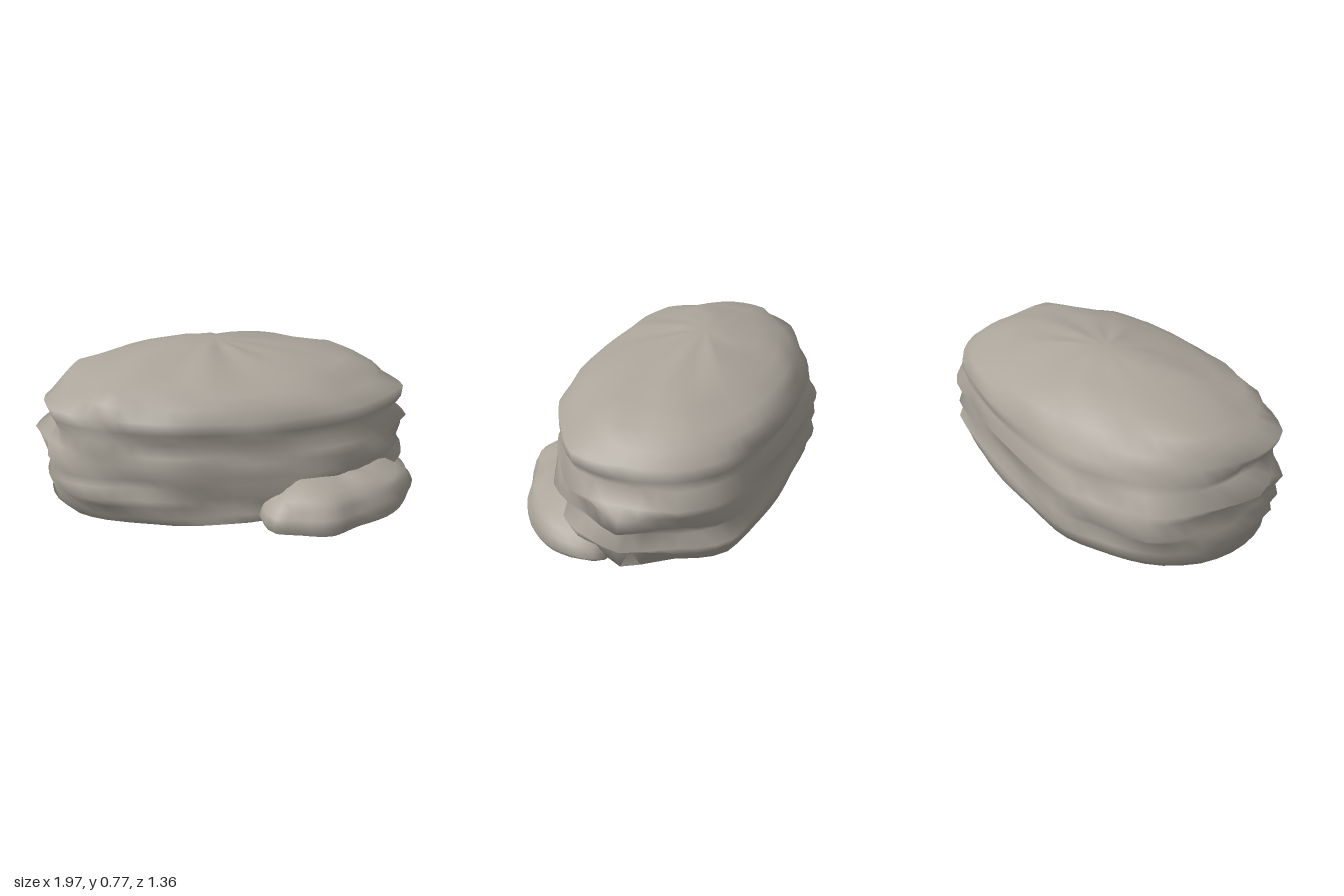
import * as THREE from 'three';

const material = new THREE.MeshStandardMaterial({ color: 0xaba59b });

// Repeatable pseudo-random value in -1..1 for a pair of whole numbers
function hash(i, j) {
  const s = Math.sin(i * 127.1 + j * 311.7) * 43758.5453;
  return (s - Math.floor(s)) * 2 - 1;
}

// Rock lofted from rings: a plan outline [x, z] shrunk towards the apex [x, y, z]
// by profile [y, scale, z shift]. The plan turns into an oval above and below its widest band.
// Jitter grows towards the tips of the long (x) axis.
function createRock(name, { outline, profile, apex, segments, jitter, endJitter, leftRise, rounding }) {
  const curve = new THREE.CatmullRomCurve3(
    outline.map(([x, z]) => new THREE.Vector3(x, 0, z)), true, 'centripetal');
  const plan = curve.getSpacedPoints(segments).slice(0, segments);
  const [ax, ay, az] = apex;
  const bounds = new THREE.Box3().setFromPoints(plan);
  const middle = bounds.getCenter(new THREE.Vector3());
  const half = bounds.getSize(new THREE.Vector3()).multiplyScalar(0.5);
  const oval = plan.map((p) => {
    const u = (p.x - middle.x) / half.x;
    const v = (p.z - middle.z) / half.z;
    const length = Math.hypot(u, v);
    return new THREE.Vector3(middle.x + half.x * u / length, 0, middle.z + half.z * v / length);
  });
  const positions = [];
  const index = [];

  profile.forEach(([y, scale, shift], r) => {
    const round = rounding * Math.min(1, 2 * Math.abs(y / ay - 0.32));
    plan.forEach((point, i) => {
      const p = point.clone().lerp(oval[i], round);
      const end = Math.pow(Math.abs(p.x - middle.x) / half.x, 3);
      const cell = Math.floor(i / 3);
      const t = (i % 3) / 3;
      const broad = hash(cell, r) * (1 - t) + hash((cell + 1) % (segments / 3), r) * t;
      const k = scale * (1 + broad * (jitter + endJitter * end));
      const x = ax + (p.x - ax) * k;
      const lift = r === 0 ? 0 : broad * 0.01;
      positions.push(x, y * (1 + leftRise * Math.max(0, -x)) + lift, az + shift + (p.z - az) * k);
    });
  });

  // Side walls
  for (let r = 0; r < profile.length - 1; r++) {
    for (let i = 0; i < segments; i++) {
      const a = r * segments + i;
      const b = r * segments + (i + 1) % segments;
      index.push(a, b, a + segments, b, b + segments, a + segments);
    }
  }
  // Domed crown
  const top = positions.length / 3;
  positions.push(ax, ay, az);
  const last = (profile.length - 1) * segments;
  for (let i = 0; i < segments; i++) index.push(last + i, last + (i + 1) % segments, top);

  // Flat underside on its own vertices, so the rim stays sharp
  const base = positions.length / 3;
  for (let i = 0; i < segments; i++) positions.push(positions[i * 3], 0, positions[i * 3 + 2]);
  positions.push(ax, 0, az);
  for (let i = 0; i < segments; i++) index.push(base + i, base + segments, base + (i + 1) % segments);

  const geometry = new THREE.BufferGeometry();
  geometry.setAttribute('position', new THREE.Float32BufferAttribute(positions, 3));
  geometry.setIndex(index);
  geometry.computeVertexNormals();
  const mesh = new THREE.Mesh(geometry, material);
  mesh.name = name;
  return mesh;
}

export function createModel() {
  const group = new THREE.Group();
  group.name = 'rocks';

  // Outlines run from the left tip (+x) over the back (-z) and round to the front
  group.add(createRock('boulder', {
    outline: [
      [0.98, -0.04], [0.92, -0.18], [0.86, -0.34], [0.75, -0.47], [0.4, -0.56], [0, -0.63],
      [-0.35, -0.69], [-0.52, -0.64], [-0.77, -0.53], [-0.88, -0.38], [-0.98, -0.07],
      [-0.96, 0.16], [-0.82, 0.31], [-0.6, 0.38], [-0.4, 0.45], [-0.15, 0.47],
      [0.1, 0.5], [0.4, 0.5], [0.7, 0.4], [0.86, 0.26], [0.93, 0.12],
    ],
    profile: [
      [0, 0.85, 0.03], [0.05, 0.92, 0.01], [0.1, 0.93, 0], [0.15, 0.97, 0], [0.2, 0.93, 0],
      [0.255, 0.98, 0], [0.31, 0.94, 0], [0.365, 0.97, 0], [0.42, 0.91, 0.01], [0.48, 0.95, 0.02],
      [0.53, 0.93, 0.02], [0.585, 0.87, 0.02], [0.63, 0.79, 0.02], [0.675, 0.65, 0.02],
      [0.715, 0.46, 0.01], [0.75, 0.22, 0],
    ],
    apex: [-0.07, 0.775, -0.12],
    segments: 60, jitter: 0.03, endJitter: 0.035, leftRise: 0.05, rounding: 0.9,
  }));

  // Low stone leaning against the front left of the boulder
  group.add(createRock('smallRock', {
    outline: [
      [0.91, 0.16], [0.87, 0.06], [0.6, 0.08], [0.25, 0.2], [0.05, 0.38], [0.02, 0.5],
      [0.04, 0.58], [0.15, 0.63], [0.3, 0.68], [0.45, 0.63], [0.6, 0.58], [0.74, 0.5], [0.86, 0.35],
    ],
    profile: [
      [0, 0.98, 0], [0.04, 1, 0], [0.08, 0.97, 0], [0.12, 0.91, 0],
      [0.155, 0.83, 0], [0.185, 0.68, 0], [0.205, 0.46, 0],
    ],
    apex: [0.38, 0.212, 0.39],
    segments: 42, jitter: 0.03, endJitter: 0.01, leftRise: 0, rounding: 0,
  }));

  return group;
}
